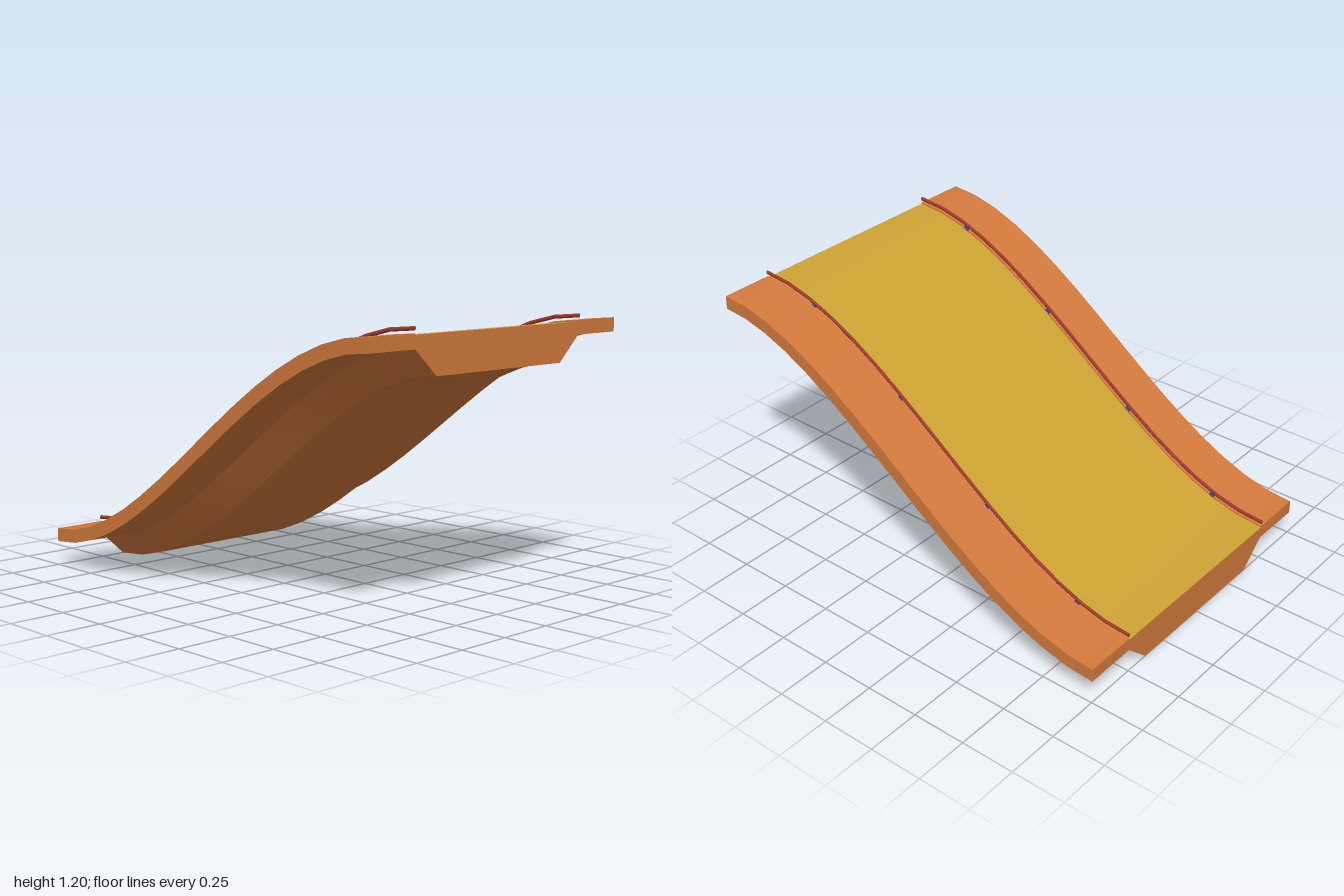
import * as THREE from 'three';

const BASE = 0.165;   // height of the running surface at the low end
const STEPS = 16;

// Point and tilt on the S-shaped slope at t = 0..1
function slope(t) {
  const y = BASE + t * t * (3 - 2 * t);
  return { x: 2 * t - 1, y, tilt: Math.atan2(6 * t * (1 - t), 2) };
}

// Place a section point (h measured square to the slope, from the model's base)
function place(t, z, h) {
  const s = slope(t), d = h - BASE;
  return [s.x - Math.sin(s.tilt) * d, s.y + Math.cos(s.tilt) * d, z];
}

// Sweep a clockwise [z, h] section along the slope: smooth lengthwise, sharp between edges.
// An open section gives a bare strip; skip leaves out one edge.
function sweep(section, { closed = true, skip = -1 } = {}) {
  const pos = [], idx = [];
  const n = section.length;
  const edges = closed ? n : n - 1;
  for (let e = 0; e < edges; e++) {
    if (e === skip) continue;
    const start = pos.length / 3;
    for (let i = 0; i <= STEPS; i++) {
      for (const [z, h] of [section[e], section[(e + 1) % n]]) pos.push(...place(i / STEPS, z, h));
      if (i < STEPS) {
        const a = start + 2 * i;
        idx.push(a, a + 1, a + 3, a, a + 3, a + 2);
      }
    }
  }
  // End caps
  if (closed) {
    const pts = section.map(([z, h]) => new THREE.Vector2(z, h));
    const tris = THREE.ShapeUtils.triangulateShape(pts, []);
    for (const t of [0, 1]) {
      const start = pos.length / 3;
      section.forEach(([z, h]) => pos.push(...place(t, z, h)));
      for (const [a, b, c] of tris) {
        const ccw = THREE.ShapeUtils.area([pts[a], pts[b], pts[c]]) > 0;
        if (ccw === (t === 0)) idx.push(start + a, start + b, start + c);
        else idx.push(start + a, start + c, start + b);
      }
    }
  }
  const g = new THREE.BufferGeometry();
  g.setAttribute('position', new THREE.Float32BufferAttribute(pos, 3));
  g.setIndex(idx);
  g.computeVertexNormals();
  return g;
}

export function createModel() {
  const model = new THREE.Group();
  const paint = (color) => new THREE.MeshStandardMaterial({ color });
  const orange = paint(0xd2793c), yellow = paint(0xcca233), red = paint(0xa03c30), blue = paint(0x3a48a8);
  const add = (name, geometry, material) => {
    const mesh = new THREE.Mesh(geometry, material);
    mesh.name = name;
    model.add(mesh);
    return mesh;
  };

  // Track body: two side ledges, a shallow recess and a tapered keel
  const half = [[0.5, 0.165], [0.5, 0.171], [0.75, 0.171], [0.75, 0.11], [0.5, 0.11], [0.38, 0]];
  const body = [...half, ...half.map(([z, h]) => [-z, h]).reverse()];
  add('trackBody', sweep(body, { skip: body.length - 1 }), orange);

  // Running surface filling the recess
  add('runningSurface', sweep([[-0.5, 0.165], [0.5, 0.165]], { closed: false }), yellow);

  for (const side of [1, -1]) {
    const label = side > 0 ? 'front' : 'back';

    // Slim rounded guard rail
    const rail = [];
    for (let i = 0; i < 8; i++) {
      const a = -(i + 0.5) * Math.PI / 4;
      rail.push([side * 0.505 + 0.0065 * Math.cos(a), 0.19 + 0.009 * Math.sin(a)]);
    }
    add(label + 'Rail', sweep(rail), red);

    // Small posts holding the rail above the ledge
    for (const x of [-0.73, -0.245, 0.23, 0.72]) {
      const t = (x + 1) / 2;
      const post = add(label + 'RailPost', new THREE.BoxGeometry(0.025, 0.026, 0.006), blue);
      post.position.set(...place(t, side * 0.503, 0.174));
      post.rotation.z = slope(t).tilt;
    }
  }
  return model;
}
